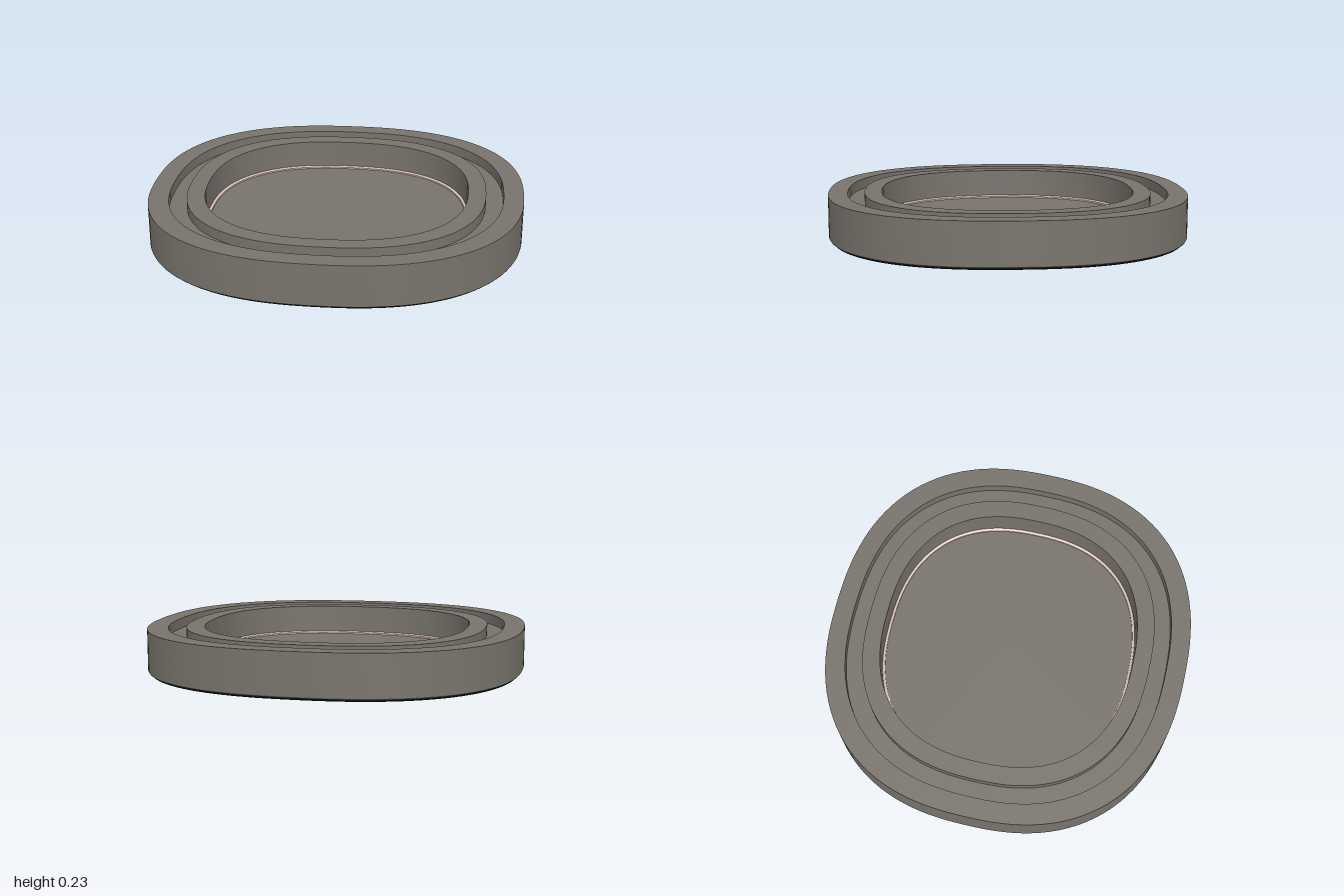
import * as THREE from 'three';
import { toCreasedNormals } from 'three/addons/utils/BufferGeometryUtils.js';

const DEPTH = 0.957; // depth of the outline relative to its width
const POWER = 2.4; // squareness of the outline

// Revolves a profile, then pushes each circle out to a rounded-square outline
function sweep(profile) {
  const geo = new THREE.LatheGeometry(profile.map(([r, y]) => new THREE.Vector2(r, y)), 128);
  const pos = geo.attributes.position;
  for (let i = 0; i < pos.count; i++) {
    const x = pos.getX(i), z = pos.getZ(i);
    const r = Math.hypot(x, z);
    if (r < 1e-6) continue;
    const k = Math.pow(Math.abs(x / r) ** POWER + Math.abs(z / r / DEPTH) ** POWER, -1 / POWER);
    pos.setX(i, x * k);
    pos.setZ(i, z * k);
  }
  return toCreasedNormals(geo, 0.5);
}

export function createModel() {
  const stone = new THREE.MeshStandardMaterial({ name: 'warm grey', color: 0x78736c });
  const pink = new THREE.MeshStandardMaterial({ name: 'pale pink', color: 0xd8c0b6 });
  const black = new THREE.MeshStandardMaterial({ name: 'black', color: 0x0e0e0e });

  const model = new THREE.Group();
  model.name = 'dish';
  const add = (name, profile, material) => {
    const mesh = new THREE.Mesh(sweep(profile), material);
    mesh.name = name;
    model.add(mesh);
  };

  // Outer wall, grooved rim and the wall of the well
  add('body', [
    [0.985, 0.008], [0.996, 0.012], [1, 0.018], [1, 0.235],
    [0.893, 0.235], [0.893, 0.18], [0.8, 0.18], [0.8, 0.235],
    [0.705, 0.235], [0.705, 0.086],
  ], stone);

  // Thin bright trim around the foot of the well
  add('trim', [[0.705, 0.086], [0.692, 0.08], [0.692, 0.072]], pink);

  // Flat floor of the well
  add('floor', [[0.692, 0.072], [0, 0.072]], stone);

  // Dark pad under the body
  add('basePad', [[0, 0], [0.982, 0], [0.985, 0.008]], black);

  return model;
}
